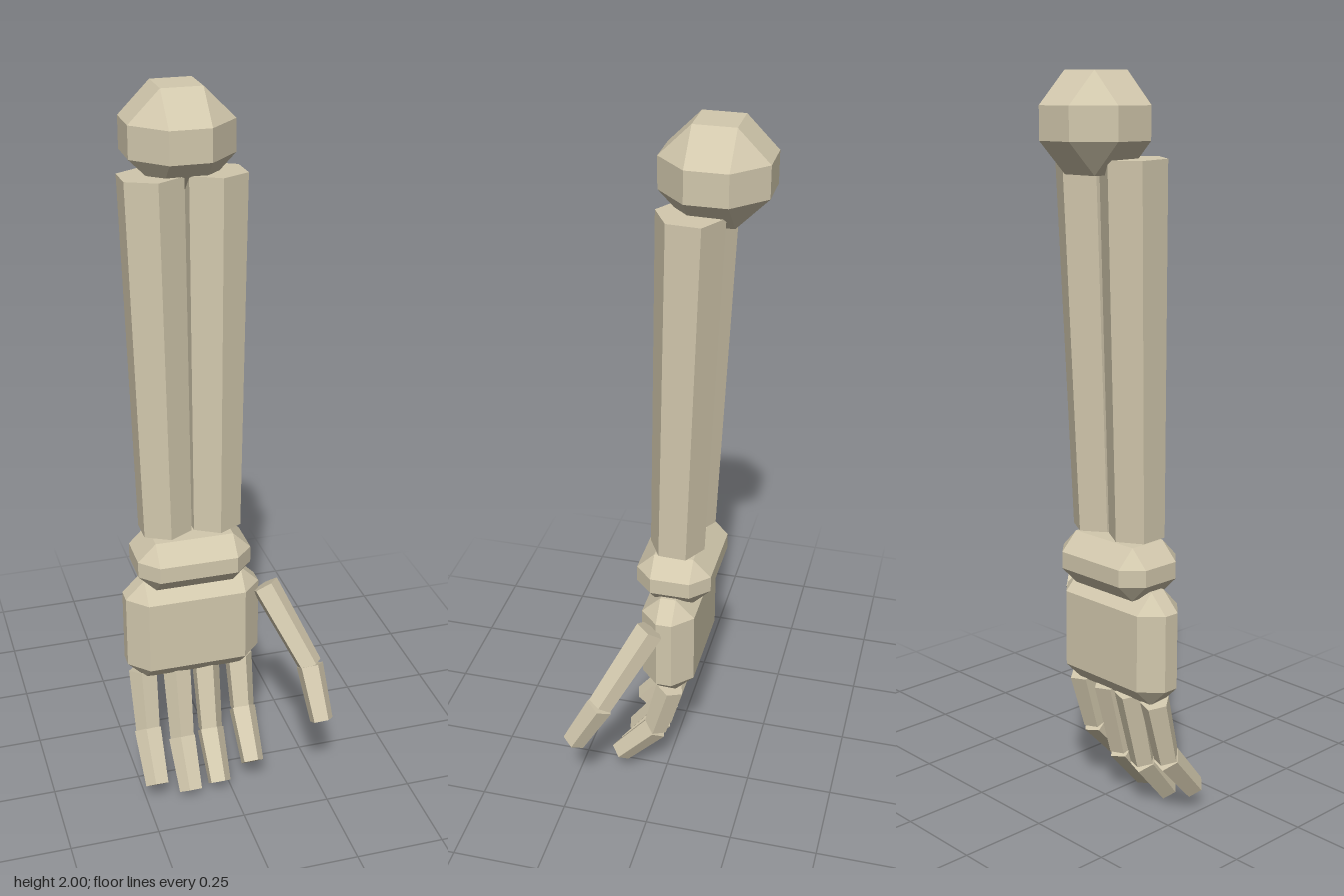
import * as THREE from 'three';
import { ConvexGeometry } from 'three/addons/geometries/ConvexGeometry.js';

const bone = new THREE.MeshStandardMaterial({ color: 0xd2c8ad, flatShading: true });
bone.name = 'bone';

const MID = -0.08; // symmetry line of the forearm and hand
const UP = new THREE.Vector3(0, 1, 0);

// Box with every edge and corner cut back by t
function chamferedBox(name, center, [a, b, c], t) {
  const points = [];
  for (const x of [-1, 1]) for (const y of [-1, 1]) for (const z of [-1, 1]) {
    points.push(
      new THREE.Vector3(x * a, y * (b - t), z * (c - t)),
      new THREE.Vector3(x * (a - t), y * b, z * (c - t)),
      new THREE.Vector3(x * (a - t), y * (b - t), z * c)
    );
  }
  const mesh = new THREE.Mesh(new ConvexGeometry(points), bone);
  mesh.name = name;
  mesh.position.set(...center);
  return mesh;
}

// Tapered prism between two points; phase (degrees) turns its corners around the axis
function prism(name, from, to, rFrom, rTo, sides, phase = 0) {
  const a = new THREE.Vector3(...from), b = new THREE.Vector3(...to);
  const axis = a.clone().sub(b);
  const geometry = new THREE.CylinderGeometry(rFrom, rTo, axis.length(), sides);
  geometry.rotateY(THREE.MathUtils.degToRad(phase));
  const mesh = new THREE.Mesh(geometry, bone);
  mesh.name = name;
  mesh.position.copy(a).add(b).multiplyScalar(0.5);
  mesh.quaternion.setFromUnitVectors(UP, axis.normalize());
  return mesh;
}

// Two-segment finger
function digit(name, root, joint, tip, phase) {
  const group = new THREE.Group();
  group.name = name;
  group.add(
    prism(name + 'Base', root, joint, 0.0415, 0.036, 5, phase),
    prism(name + 'Tip', joint, tip, 0.04, 0.034, 5, phase)
  );
  return group;
}

export function createModel() {
  const model = new THREE.Group();
  model.name = 'skeletonArm';

  // Elbow, wrist and palm blocks
  model.add(
    chamferedBox('elbow', [MID, 1.875, -0.107], [0.137, 0.125, 0.138], 0.083),
    chamferedBox('wrist', [MID, 0.727, -0.026], [0.159, 0.073, 0.105], 0.05),
    chamferedBox('palm', [MID, 0.516, -0.017], [0.191, 0.159, 0.075], 0.053)
  );

  // Pair of forearm bones
  for (const side of [-1, 1]) {
    model.add(prism(side < 0 ? 'rightForearmBone' : 'leftForearmBone',
      [MID + side * 0.082, 1.79, -0.058], [MID + side * 0.069, 0.815, -0.027], 0.088, 0.076, 6));
  }

  // Four fingers: offset from the middle, joint height, joint depth, tip height
  const fingers = [
    ['littleFinger', -0.141, 0.186, 0.022, 0.066],
    ['ringFinger', -0.042, 0.143, 0.03, 0.023],
    ['middleFinger', 0.042, 0.155, 0.028, 0.035],
    ['indexFinger', 0.141, 0.205, 0.02, 0.087],
  ];
  for (const [name, dx, jointY, jointZ, tipY] of fingers) {
    const x = MID + dx;
    model.add(digit(name, [x, 0.365, -0.025], [x, jointY, jointZ], [x, tipY, 0.126], dx < 0 ? -90 : 90));
  }

  // Thumb
  model.add(digit('thumb', [0.125, 0.612, 0.018], [0.225, 0.4, 0.137], [0.237, 0.262, 0.214], 20));

  return model;
}
